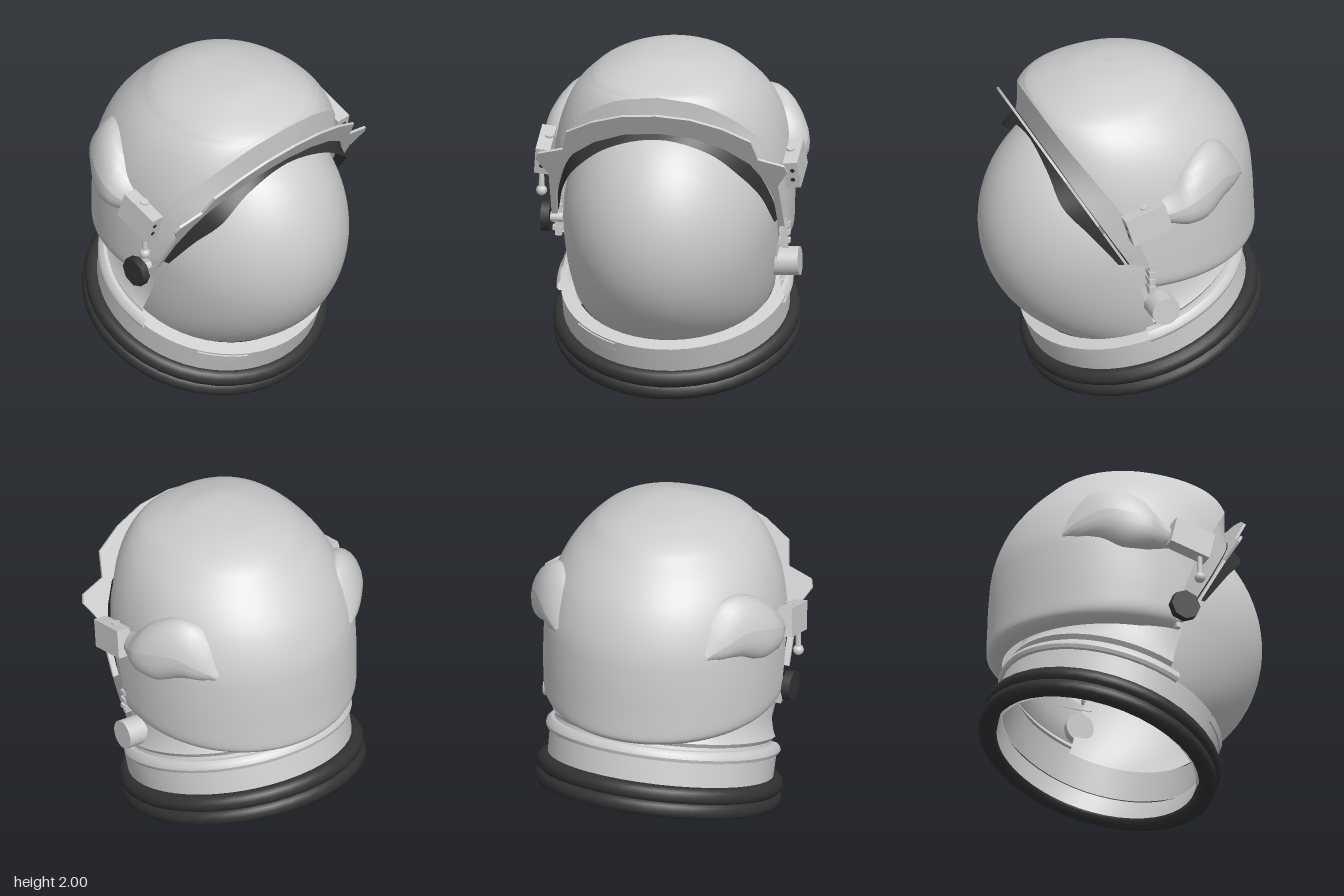
import * as THREE from 'three';
import { toCreasedNormals } from 'three/addons/utils/BufferGeometryUtils.js';

const light = new THREE.MeshStandardMaterial({ color: 0xcccccc, side: THREE.DoubleSide });
light.name = 'light grey';
const dark = new THREE.MeshStandardMaterial({ color: 0x333333, side: THREE.DoubleSide });
dark.name = 'dark rubber';

const V = (x, y, z) => new THREE.Vector3(x, y, z);
const PI = Math.PI;

function add(parent, name, geometry, material, pos = [0, 0, 0], rot = [0, 0, 0]) {
  const mesh = new THREE.Mesh(geometry, material);
  mesh.name = name;
  mesh.position.set(...pos);
  mesh.rotation.set(...rot);
  parent.add(mesh);
  return mesh;
}

// Smooth surface through equal-length rows of points
function loft(rows) {
  const n = rows[0].length, index = [];
  for (let i = 0; i < rows.length - 1; i++)
    for (let j = 0; j < n - 1; j++) {
      const a = i * n + j, b = a + n;
      index.push(a, b, a + 1, b, b + 1, a + 1);
    }
  const g = new THREE.BufferGeometry().setFromPoints(rows.flat());
  g.setIndex(index);
  g.computeVertexNormals();
  return g;
}

const lathe = (pts, start = 0, length = 2 * PI) => toCreasedNormals(
  new THREE.LatheGeometry(pts.map(p => new THREE.Vector2(...p)), 48, start, length), 0.6);

// Outer shell levels: height, centre z, half width, half depth, z of the face opening
const LEVELS = [
  [2.0, 0.05, 0.001, 0.001, 0.6], [1.985, 0.04, 0.17, 0.2, 0.6], [1.95, 0.03, 0.29, 0.32, 0.6],
  [1.9, 0.04, 0.4, 0.43, 0.6], [1.85, 0.05, 0.465, 0.5, 0.55], [1.75, 0.02, 0.555, 0.575, 0.485],
  [1.6, -0.02, 0.63, 0.65, 0.38], [1.4, -0.05, 0.68, 0.7, 0.245], [1.2, -0.06, 0.69, 0.715, 0.15],
  [1.0, -0.06, 0.69, 0.725, 0.08], [0.88, -0.06, 0.68, 0.73, 0.07], [0.84, -0.06, 0.65, 0.7, 0.07],
  [0.82, -0.06, 0.6, 0.64, 0.08],
];
const curveA = new THREE.CatmullRomCurve3(LEVELS.map(l => V(l[0], l[1], l[2])));
const curveB = new THREE.CatmullRomCurve3(LEVELS.map(l => V(l[3], l[4], 0)));
const FULL = 2 / 2.4; // front half of each level is a little squarer than an ellipse

// Point on the shell: u runs top to bottom, k from one opening edge round the back to the other
function shellPoint(u, k) {
  const a = curveA.getPoint(u), b = curveB.getPoint(u);
  const open = THREE.MathUtils.clamp((b.y - a.y) / b.x, 0, 1);
  const t = Math.acos(Math.pow(open, 1 / FULL));
  const phi = t + (2 * PI - 2 * t) * k;
  const s = Math.sin(phi), c = Math.cos(phi);
  const front = c > 0;
  return V(a.z * (front ? Math.sign(s) * Math.abs(s) ** FULL : s), a.x, a.y + b.x * (front ? c ** FULL : c));
}

// Full arch from its left half, given from the crown down
function arch(half) {
  const mirrored = half.slice(1).reverse().map(p => V(-p.x, p.y, p.z));
  return [...mirrored, ...half];
}

function addShell(root) {
  const rows = [];
  for (let i = 0; i <= 52; i++) {
    const row = [];
    for (let j = 0; j <= 64; j++) row.push(shellPoint(i / 52, j / 64));
    rows.push(row);
  }
  add(root, 'outerShell', loft(rows), light);

  // Light rim inside the opening, then the dark seal hugging the visor
  const N = 24, edge = [];
  for (let i = 0; i <= N; i++) edge.push(shellPoint((4 + 5 * i / N) / 12, 0));
  edge[0].x = 0;
  const smoothArch = half => new THREE.CatmullRomCurve3(arch(half)).getPoints(2 * N);
  const back = smoothArch([V(0, 1.645, 0.545), V(0.32, 1.575, 0.505), V(0.52, 1.44, 0.43),
    V(0.62, 1.2, 0.29), V(0.645, 1.03, 0.19)]);
  const front = smoothArch([V(0, 1.605, 0.56), V(0.3, 1.535, 0.56), V(0.48, 1.4, 0.54),
    V(0.575, 1.24, 0.41), V(0.63, 1.03, 0.25)]);
  add(root, 'openingRim', loft([arch(edge), back]), light);
  add(root, 'visorSeal', loft([back, front]), dark);
}

// Raised sun shade: one flat plate with flared tabs and side arms
function addShade(root) {
  const half = [[0.2, 0.845], [0.38, 0.78], [0.54, 0.68], [0.57, 0.53], [0.72, 0.48], [0.735, 0.43],
    [0.67, 0.31], [0.68, -0.04], [0.645, -0.04], [0.635, 0.2], [0.59, 0.36], [0.52, 0.49],
    [0.38, 0.61], [0.2, 0.69]];
  const pts = [[0, 0.865], ...half, [0, 0.715], ...half.slice().reverse().map(([x, y]) => [-x, y])];
  const shape = new THREE.Shape(pts.map(p => new THREE.Vector2(...p)));
  const g = new THREE.ExtrudeGeometry(shape, { depth: 0.015, bevelEnabled: false });
  add(root, 'sunShade', g, light, [0, 1.03, 0.2], [0.517, 0, 0]);
}

// Collar, neck and visor share one forward-leaning axis
function addNeck(root) {
  const neck = new THREE.Group();
  neck.name = 'neckAssembly';
  neck.position.set(0, 0.25, -0.15);
  neck.rotation.x = 0.31;
  root.add(neck);
  for (const s of [0, 0.085])
    add(neck, 'rubberRoll', new THREE.TorusGeometry(0.665, 0.052, 12, 40), dark, [0, s, 0], [PI / 2, 0, 0]);
  add(neck, 'collarRing', lathe([[0.6, -0.02], [0.61, 0.1], [0.655, 0.1], [0.66, 0.29], [0.58, 0.3], [0.6, 0.1]]), light);
  const a = PI / 2 - 0.12, len = PI + 0.24;
  add(neck, 'neckSkirt', lathe([[0.6, 0.29], [0.64, 0.34], [0.635, 0.365], [0.655, 0.39], [0.64, 0.42],
    [0.62, 0.5], [0.62, 0.64]], a, len), light);
  add(neck, 'collarLip', lathe([[0.65, 0.275], [0.675, 0.28], [0.685, 0.3], [0.68, 0.325], [0.66, 0.345], [0.62, 0.35]],
    PI / 2 - 0.2, PI + 0.4), light);
  add(neck, 'collarLatch', lathe([[0.65, 0.235], [0.668, 0.235], [0.668, 0.28], [0.65, 0.28]], -0.85, 0.45), light);

  // Visor bubble: front half of a sphere, narrowed across and kept full towards the collar
  const R = 0.76, g = new THREE.SphereGeometry(R, 40, 36, 0, PI, 0, 2.3);
  const p = g.attributes.position;
  for (let i = 0; i < p.count; i++) {
    const y = p.getY(i);
    const full = y < 0 ? Math.pow(1 - (y / R) ** 2, -0.35) : 1;
    p.setX(i, p.getX(i) * 0.815 * full);
  }
  g.computeVertexNormals();
  add(neck, 'visor', g, light, [0, 0.784, -0.01]);
}

// Swollen side housing, hinge box and fittings, mirrored for each side
function addSide(root, s) {
  const sections = [[0.06, 1.37, 0.07, 0.71], [-0.05, 1.385, 0.105, 0.745], [-0.15, 1.43, 0.165, 0.765],
    [-0.28, 1.47, 0.2, 0.725], [-0.4, 1.49, 0.165, 0.65], [-0.5, 1.44, 0.11, 0.565], [-0.575, 1.38, 0.04, 0.47]];
  const spine = new THREE.CatmullRomCurve3(sections.map(c => V(c[3], c[1], c[0])));
  const size = new THREE.CatmullRomCurve3(sections.map(c => V(c[2], 0, 0)));
  const rows = [];
  for (let i = 0; i <= 24; i++) {
    const c = spine.getPoint(i / 24), h = size.getPoint(i / 24).x, row = [];
    for (let j = 0; j <= 20; j++) {
      const t = 2 * PI * j / 20, y = h * Math.sin(t);
      row.push(V(s * (c.x - 0.12 + 0.12 * Math.cos(t) - 0.25 * y), c.y + y, c.z));
    }
    rows.push(row);
  }
  add(root, 'sideHousing', loft(rows), light);
  add(root, 'hingeBox', new THREE.BoxGeometry(0.085, 0.17, 0.25), light, [s * 0.73, 1.35, 0.115], [0.27, 0, s * 0.1]);
  add(root, 'hingeButton', new THREE.CylinderGeometry(0.025, 0.025, 0.02, 16), light, [s * 0.705, 1.437, 0.12], [0.27, 0, 0]);
  for (const y of [1.29, 1.35])
    add(root, 'hingeScrew', new THREE.CylinderGeometry(0.013, 0.013, 0.02, 10), dark,
      [s * 0.735, y, 0.21 + (y - 1.25) * 0.27], [PI / 2 + 0.27, 0, 0]);
  // Lower pivot with stacked ribs, tucked just inside the opening
  add(root, 'pivotPlate', new THREE.BoxGeometry(0.04, 0.19, 0.03), light, [s * 0.66, 0.91, 0.065]);
  for (const y of [0.86, 0.91, 0.96])
    add(root, 'pivotRib', new THREE.BoxGeometry(0.065, 0.025, 0.04), light, [s * 0.662, y, 0.065]);
}

export function createModel() {
  const root = new THREE.Group();
  root.name = 'helmet';
  addShell(root);
  addShade(root);
  addNeck(root);
  addSide(root, 1);
  addSide(root, -1);

  // Fittings found on one side only
  add(root, 'airKnob', new THREE.CylinderGeometry(0.085, 0.085, 0.15, 28), light, [0.665, 0.71, 0], [0, 0, PI / 2 + 0.06]);
  add(root, 'darkDial', new THREE.CylinderGeometry(0.09, 0.09, 0.05, 8), dark, [-0.728, 0.93, 0.08], [0, 0, PI / 2]);
  add(root, 'dialShaft', new THREE.CylinderGeometry(0.03, 0.03, 0.08, 12), light, [-0.67, 0.93, 0.08], [0, 0, PI / 2]);
  add(root, 'pullRod', new THREE.CylinderGeometry(0.014, 0.018, 0.14, 12), light, [-0.743, 1.19, 0.17]);
  add(root, 'pullBall', new THREE.SphereGeometry(0.032, 16, 12), light, [-0.743, 1.12, 0.17]);
  return root;
}
